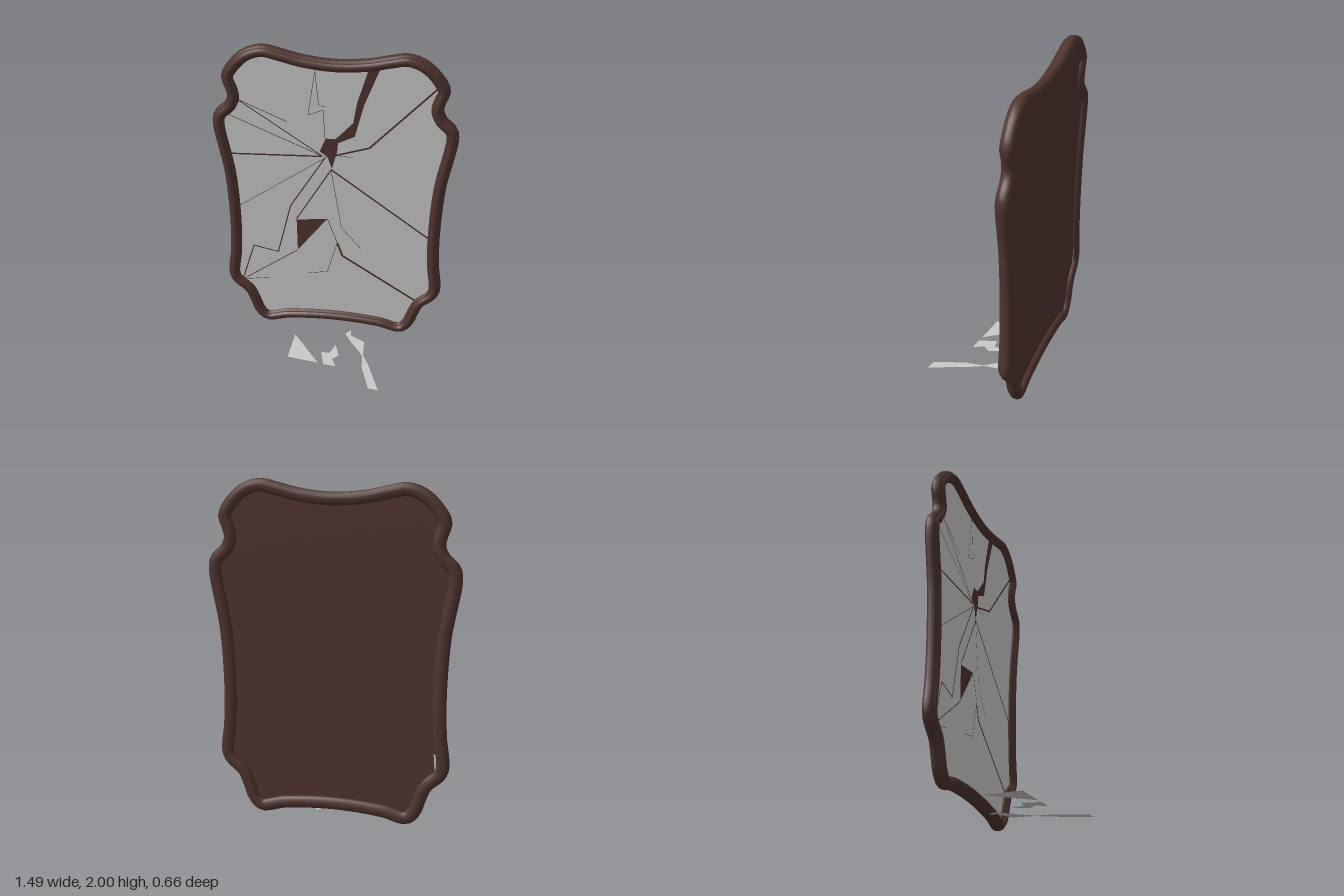
import * as THREE from 'three';

const brown = new THREE.MeshStandardMaterial({ color: 0x4e342e });
brown.name = 'dark brown wood';
const silver = new THREE.MeshStandardMaterial({ color: 0xc8c8c8, side: THREE.DoubleSide });
silver.name = 'silver glass';

// Right half of the frame's centre line, from top middle to bottom middle
const half = [
  [0, 1.897], [0.2, 1.915], [0.33, 1.945], [0.43, 1.962], [0.53, 1.925], [0.615, 1.835],
  [0.64, 1.78], [0.62, 1.72], [0.607, 1.655], [0.632, 1.59], [0.695, 1.525], [0.705, 1.47],
  [0.648, 1.13], [0.628, 0.785], [0.634, 0.55], [0.652, 0.37], [0.635, 0.325], [0.555, 0.25],
  [0.52, 0.17], [0.49, 0.09], [0.44, 0.043], [0.3, 0.072], [0, 0.092],
];
const mirrored = half.slice(1, -1).reverse().map(([x, y]) => [-x, y]);
const centreLine = new THREE.CatmullRomCurve3(
  [...half, ...mirrored].map(([x, y]) => new THREE.Vector3(x, y, 0)), true);
centreLine.arcLengthDivisions = 1000;

// Moulding cross-section: offset outwards, z (rounded back, raised bead in front)
const profile = [
  [0.038, -0.305], [0.037, -0.288], [0.031, -0.272], [0.022, -0.265], [0.018, -0.268],
  [0.015, -0.256], [0.007, -0.25], [-0.007, -0.25], [-0.015, -0.256], [-0.018, -0.268],
  [-0.022, -0.265], [-0.031, -0.272], [-0.037, -0.288], [-0.038, -0.305],
  [-0.032, -0.32], [-0.018, -0.329], [0, -0.331], [0.018, -0.329], [0.032, -0.32],
];

function frameGeometry(steps) {
  const n = profile.length, pos = [], index = [];
  for (let i = 0; i < steps; i++) {
    const p = centreLine.getPointAt(i / steps), t = centreLine.getTangentAt(i / steps);
    for (let j = 0; j < n; j++) {
      const [o, z] = profile[j];
      pos.push(p.x - t.y * o, p.y + t.x * o, z);
      const i2 = (i + 1) % steps, j2 = (j + 1) % n;
      const a = i * n + j, b = i * n + j2, c = i2 * n + j, d = i2 * n + j2;
      index.push(a, b, c, b, d, c);
    }
  }
  const g = new THREE.BufferGeometry();
  g.setAttribute('position', new THREE.Float32BufferAttribute(pos, 3));
  g.setIndex(index);
  g.computeVertexNormals();
  return g;
}

const vectors = (pts) => pts.map(([x, y]) => new THREE.Vector2(x, y));
const outline = () => new THREE.Shape(
  centreLine.getSpacedPoints(160).slice(0, -1).map((p) => new THREE.Vector2(p.x, p.y)));

// Missing pieces of glass
const gaps = [
  [[0.2, 1.89], [0.265, 1.89], [0.178, 1.66], [0.125, 1.443], [0.024, 1.39], [0.019, 1.326],
    [-0.013, 1.21], [-0.04, 1.289], [-0.088, 1.326], [-0.05, 1.416], [0.008, 1.416],
    [0.114, 1.533], [0.135, 1.666]],
  [[-0.236, 0.817], [-0.04, 0.843], [-0.231, 0.589]],
];

// Cracks: width, then the points along it
const cracks = [
  [0.011, [0.01, 1.305], [0.215, 1.374], [0.61, 1.805]],
  [0.010, [-0.018, 1.204], [0.605, 0.753]],
  [0.007, [-0.05, 1.29], [-0.273, 0.918], [-0.358, 0.562], [-0.517, 0.594], [-0.597, 0.324]],
  [0.007, [-0.018, 1.2], [-0.236, 0.825]],
  [0.003, [-0.018, 1.2], [0.05, 0.785], [0.172, 0.642]],
  [0.004, [-0.04, 0.843], [0.024, 0.668]],
  [0.013, [0.024, 0.668], [0.056, 0.573], [0.54, 0.265]],
  [0.003, [0.024, 0.668], [-0.04, 0.44], [-0.16, 0.414]],
  [0.005, [-0.231, 0.589], [-0.597, 0.318]],
  [0.003, [-0.597, 0.318], [-0.427, 0.35]],
  [0.010, [-0.07, 1.292], [-0.64, 1.263]],
  [0.006, [-0.08, 1.3], [-0.586, 1.64]],
  [0.004, [-0.08, 1.297], [-0.655, 1.538]],
  [0.003, [-0.05, 1.285], [-0.618, 0.875]],
  [0.003, [-0.114, 1.862], [-0.156, 1.57], [-0.066, 1.607], [-0.055, 1.416]],
  [0.003, [-0.114, 1.862], [-0.093, 1.64], [-0.05, 1.628]],
  [0.004, [-0.586, 1.64], [-0.284, 1.512]],
  [0.003, [0.01, 1.305], [0.114, 1.3]],
];

// Fallen shards, as x and z on the floor
const shards = [
  [[-0.231, -0.14], [-0.038, 0.12], [-0.239, 0.092]],
  [[-0.034, 0.012], [0.022, 0.012], [0.046, -0.076], [0.082, 0.028], [0.046, 0.072],
    [0.078, 0.137], [-0.002, 0.129]],
  [[0.127, -0.241], [0.131, -0.185], [0.227, -0.129], [0.235, 0], [0.279, 0.088],
    [0.371, 0.325], [0.307, 0.313], [0.243, 0.124], [0.231, 0.008], [0.131, -0.133],
    [0.094, -0.197]],
];

export function createModel() {
  const model = new THREE.Group();
  model.name = 'brokenMirror';
  const add = (name, geometry, material, parent = model) => {
    const mesh = new THREE.Mesh(geometry, material);
    mesh.name = name;
    parent.add(mesh);
    return mesh;
  };
  const group = (name) => {
    const g = new THREE.Group();
    g.name = name;
    model.add(g);
    return g;
  };

  add('frame', frameGeometry(240), brown);

  // Wooden back board
  const board = new THREE.ExtrudeGeometry(outline(), { depth: 0.008, bevelEnabled: false });
  add('backBoard', board, brown).position.z = -0.302;

  // Glass with the missing pieces cut out
  const pane = outline();
  pane.holes = gaps.map((g) => new THREE.Path(vectors(g)));
  add('glass', new THREE.ShapeGeometry(pane), silver).position.z = -0.286;

  // Cracks as thin strips over the glass
  const crackGroup = group('cracks');
  for (const [width, ...pts] of cracks) {
    for (let i = 0; i + 1 < pts.length; i++) {
      const [[x0, y0], [x1, y1]] = [pts[i], pts[i + 1]];
      const strip = new THREE.PlaneGeometry(Math.hypot(x1 - x0, y1 - y0), width);
      const mesh = add('crack', strip, brown, crackGroup);
      mesh.position.set((x0 + x1) / 2, (y0 + y1) / 2, -0.284);
      mesh.rotation.z = Math.atan2(y1 - y0, x1 - x0);
    }
  }

  // Glass corner poking through the board
  const sliver = new THREE.Shape(vectors([[-0.622, 0.45], [-0.598, 0.45], [-0.608, 0.32]]));
  add('glassSliver', new THREE.ShapeGeometry(sliver), silver).position.z = -0.304;

  // Shards lying on the floor
  const shardGroup = group('fallenShards');
  for (const pts of shards) {
    const shape = new THREE.Shape(vectors(pts.map(([x, z]) => [x, -z])));
    const flat = new THREE.ShapeGeometry(shape).rotateX(-Math.PI / 2);
    add('shard', flat, silver, shardGroup).position.y = 0.012;
  }
  return model;
}
